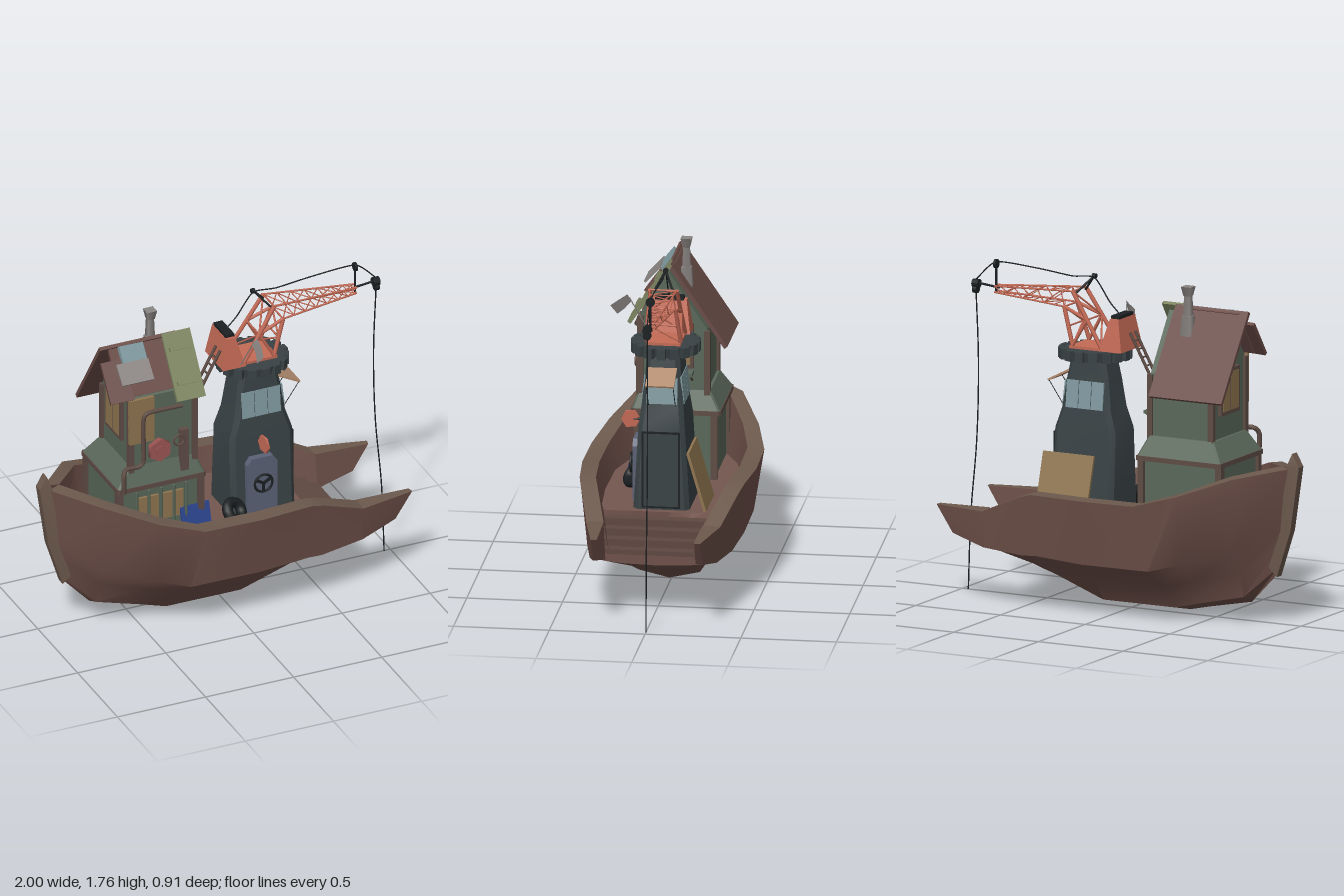
import * as THREE from 'three';
import { toCreasedNormals } from 'three/addons/utils/BufferGeometryUtils.js';

const C = { hull: 0x6e5049, rim: 0x6c594d, deck: 0x745650, step: 0x5e4740, roof: 0x6a4c47, green: 0x5a685a, olive: 0x7c8560, post: 0x5f4c45,
  tower: 0x394245, dark: 0x1c2022, orange: 0xc46a55, glass: 0x7f999f, tan: 0x8f7550, blue: 0x2c4690, slate: 0x5a6275, grey: 0x8a8583 };
const V = (p) => new THREE.Vector3(...p);

function add(parent, name, geo, color, pos = [0, 0, 0], rot = [0, 0, 0]) {
  const mesh = new THREE.Mesh(geo, new THREE.MeshStandardMaterial({ color, side: THREE.DoubleSide }));
  mesh.name = name;
  mesh.position.set(...pos);
  mesh.rotation.set(...rot);
  parent.add(mesh);
  return mesh;
}
const box = (p, name, w, h, d, color, pos, rot) => add(p, name, new THREE.BoxGeometry(w, h, d), color, pos, rot);

// Surface through rows of points; closed rings get end caps
function loft(rows, closed = true, crease = 0.4) {
  const pos = [], n = rows[0].length;
  const tri = (a, b, c) => pos.push(...a, ...b, ...c);
  for (let i = 0; i < rows.length - 1; i++)
    for (let j = 0; j < (closed ? n : n - 1); j++) {
      const k = (j + 1) % n, r = rows[i], s = rows[i + 1];
      tri(r[j], r[k], s[j]);
      tri(r[k], s[k], s[j]);
    }
  if (closed) for (let j = 1; j < n - 1; j++) {
    const e = rows[rows.length - 1];
    tri(rows[0][0], rows[0][j + 1], rows[0][j]);
    tri(e[0], e[j], e[j + 1]);
  }
  const g = new THREE.BufferGeometry();
  g.setAttribute('position', new THREE.Float32BufferAttribute(pos, 3));
  return toCreasedNormals(g, crease);
}
// Round bar between two points
function bar(p, name, a, b, r, color) {
  const A = V(a), d = V(b).sub(A);
  const m = add(p, name, new THREE.CylinderGeometry(r, r, d.length(), 6), color);
  m.position.copy(A).addScaledVector(d, 0.5);
  m.quaternion.setFromUnitVectors(new THREE.Vector3(0, 1, 0), d.normalize());
}
const tube = (p, name, pts, r, color, tension = 0.3) =>
  add(p, name, new THREE.TubeGeometry(new THREE.CatmullRomCurve3(pts.map(V), false, 'catmullrom', tension), 40, r, 6), color);
// Sloping slab from x0 to x1, between two [z, y] edges
function slab(p, name, x0, x1, a, b, t, color) {
  const dz = b[0] - a[0], dy = b[1] - a[1];
  return box(p, name, x1 - x0, t, Math.hypot(dz, dy), color,
    [(x0 + x1) / 2, (a[1] + b[1]) / 2, (a[0] + b[0]) / 2], [Math.atan2(-dy, dz), 0, 0]);
}
// Rectangle with cut corners at height y
const ring = (cx, cz, y, hx, hz, c) => [[hx, hz - c], [hx - c, hz], [c - hx, hz], [-hx, hz - c], [-hx, c - hz], [c - hx, -hz], [hx - c, -hz], [hx, c - hz]]
  .map(([x, z]) => [cx + x, y, cz + z]);

function buildHull(g) {
  // top x, bottom x, rim z, rim y, keel y, inner x, inner z, inner foot y, z and y fractions of the chines
  const mid = [[0.86, 0.53, 0.35], [0.43, 0.26, 0.06]];
  const S = [
    [-0.95, -0.86, 0.03, 0.83, 0.26, -0.88, 0.0, 0.49, mid], [-0.74, -0.71, 0.27, 0.795, 0.1, -0.7, 0.205, 0.49, mid],
    [-0.48, -0.46, 0.39, 0.7, 0.05, -0.46, 0.31, 0.49, mid], [-0.25, -0.35, 0.45, 0.637, 0.025, -0.26, 0.36, 0.49, mid],
    [0.08, 0.08, 0.455, 0.635, 0.025, 0.08, 0.365, 0.49, mid],
    [0.36, 0.36, 0.43, 0.635, 0.15, 0.36, 0.345, 0.49, [[0.9, 0.58, 0.38], [0.32, 0.15, 0.04]]],
    [0.44, 0.44, 0.412, 0.61, 0.182, 0.44, 0.325, 0.49, [[0.92, 0.62, 0.4], [0.27, 0.12, 0.03]]],
    [0.69, 0.69, 0.35, 0.5, 0.278, 0.69, 0.26, 0.33, [[0.95, 0.72, 0.45], [0.13, 0.06, 0.02]]]];
  const outer = S.map(([xt, xb, z, y, k, , , , f]) => {
    const half = [[z, 1], ...[0, 1, 2].map((i) => [z * f[0][i], f[1][i]])];
    const at = ([zz, t]) => [xb + (xt - xb) * t, k + (y - k) * t, zz];
    return [...half.map(at), at([0, 0]), ...half.reverse().map(([zz, t]) => at([-zz, t]))];
  });
  add(g, 'hull', loft(outer, false, 0.75), C.hull);
  // Stern wall under the lowest step
  const edge = outer[outer.length - 1].slice(1, -1).map((p) => new THREE.Vector2(-p[2], p[1]));
  edge.push(new THREE.Vector2(0.335, 0.33), new THREE.Vector2(-0.335, 0.33));
  add(g, 'transom', new THREE.ShapeGeometry(new THREE.Shape(edge)), C.hull, [0.69, 0, 0], [0, Math.PI / 2, 0]);
  for (const s of [1, -1]) {
    add(g, 'rim', loft(S.map(([x, , z, y, , ix, iz]) => [[x, y, s * z], [ix, y + 0.003, s * iz]]), false), C.rim);
    add(g, 'bulwark', loft(S.map(([, , , y, , ix, iz, f]) => [[ix, y + 0.003, s * iz], [ix + 0.02 * (ix < -0.5), f, s * Math.max(0, iz - 0.03)]]), false), C.hull);
    // Stern arms reaching past the steps
    add(g, 'sternArm', loft([
      [[0.69, 0.5, s * 0.35], [0.69, 0.306, s * 0.333], [0.69, 0.298, s * 0.25], [0.69, 0.503, s * 0.26]],
      [[0.995, 0.497, s * 0.285], [0.9, 0.355, s * 0.285], [0.9, 0.36, s * 0.25], [0.99, 0.497, s * 0.255]]]), C.hull);
    add(g, 'sternRim', loft([[[0.69, 0.501, s * 0.352], [0.69, 0.505, s * 0.257]], [[0.995, 0.499, s * 0.286], [0.99, 0.499, s * 0.253]]], false), C.rim);
  }
  add(g, 'deck', loft(S.slice(0, 7).map(([, , , , , ix, iz]) => {
    const z = Math.max(0, iz - 0.02);
    return [[ix, 0.49, z], [ix, 0.49, -z]];
  }), false), C.deck);
  for (let i = 0; i < 4; i++)
    box(g, 'sternStep', 0.063, 0.045, 0.6 - i * 0.03, C.step, [0.47 + i * 0.062, 0.442 - i * 0.037, 0]);
  // Stem post
  add(g, 'stemPost', loft([[[-0.87, 0.25], [-0.83, 0.3]], [[-0.95, 0.5], [-0.9, 0.5]], [[-1, 0.84], [-0.93, 0.82]], [[-0.96, 0.91], [-0.94, 0.85]]]
    .map(([[a, y], [b, v]]) => [[a, y, 0.025], [b, v, 0.042], [b, v, -0.042], [a, y, -0.025]])), C.rim);
}

function buildHouse(g) {
  box(g, 'lowerHouse', 0.46, 0.36, 0.4, C.green, [-0.4, 0.67, 0]);
  for (const x of [-0.63, -0.17]) for (const z of [-0.2, 0.2]) box(g, 'lowerPost', 0.035, 0.36, 0.035, C.post, [x, 0.67, z]);
  add(g, 'skirtTrim', loft([ring(-0.4, 0, 0.835, 0.25, 0.235, 0.01), ring(-0.4, 0, 0.86, 0.25, 0.235, 0.01)]), C.post);
  add(g, 'skirtRoof', loft([ring(-0.4, 0, 0.86, 0.245, 0.23, 0.01), ring(-0.385, 0.01, 0.96, 0.19, 0.185, 0.01)]), C.green);
  // Gabled upper storey
  const gable = [[-0.16, 0.93], [0.19, 0.93], [0.19, 1.36], [0.04, 1.585], [-0.16, 1.285]];
  add(g, 'upperHouse', loft([-0.56, -0.2].map((x) => gable.map(([z, y]) => [x, y, z]))), C.green);
  for (const x of [-0.56, -0.2]) for (const [z, top] of [[-0.16, 1.28], [0.19, 1.35]])
    box(g, 'upperPost', 0.03, top - 0.93, 0.03, C.post, [x, (top + 0.93) / 2, z]);
  slab(g, 'backRoof', -0.67, -0.24, [-0.25, 1.18], [0.045, 1.615], 0.02, C.roof);
  slab(g, 'frontRoof', -0.62, -0.3, [0.03, 1.61], [0.19, 1.375], 0.02, C.roof);
  slab(g, 'roofPatch', -0.68, -0.55, [0.08, 1.55], [0.21, 1.37], 0.02, C.roof).rotation.z = 0.06;
  slab(g, 'oliveRoof', -0.32, -0.16, [0.04, 1.62], [0.245, 1.32], 0.02, C.olive);
  for (const t of [0.25, 0.75]) box(g, 'roofBatten', 0.12, 0.015, 0.02, C.olive, [-0.24, 1.63 - 0.3 * t, 0.055 + 0.205 * t], [0.97, 0, 0]);
  slab(g, 'skylight', -0.57, -0.43, [0.05, 1.605], [0.11, 1.53], 0.025, C.glass).rotation.z = -0.1;
  slab(g, 'roofSheet', -0.61, -0.43, [0.12, 1.545], [0.2, 1.46], 0.012, C.grey);
  // Chimney
  for (const [top, bottom, h, y] of [[0.04, 0.026, 0.05, 1.71], [0.022, 0.03, 0.16, 1.62], [0.036, 0.048, 0.14, 1.51]])
    add(g, 'chimney', new THREE.CylinderGeometry(top, bottom, h, 4), C.grey, [-0.35, y, -0.03], [0, Math.PI / 4, 0]);
  // Shutters, hatches and windows
  box(g, 'frontShutter', 0.14, 0.26, 0.02, C.tan, [-0.505, 1.235, 0.205]);
  for (const x of [-0.47, -0.33]) box(g, 'lowerHatch', 0.12, 0.15, 0.02, C.tan, [x, 0.7, 0.205]);
  for (const s of [-1, 1]) {
    const x = s < 0 ? -0.57 : -0.19;
    box(g, 'gableFrame', 0.02, 0.24, 0.2, C.post, [x, 1.2, 0.01]);
    for (const z of [-0.035, 0.055]) box(g, 'gableShutter', 0.026, 0.2, 0.075, C.tan, [x, 1.2, z]);
  }
  // Arched side door with a pane, left ajar
  const arch = new THREE.Shape().moveTo(-0.06, 0).lineTo(0.06, 0).lineTo(0.06, 0.25).absarc(0, 0.25, 0.06, 0, Math.PI).lineTo(-0.06, 0);
  add(g, 'sideDoor', new THREE.ExtrudeGeometry(arch, { depth: 0.015, bevelEnabled: false, curveSegments: 8 }), C.slate, [-0.155, 0.51, 0.11], [0, 1.1, 0]);
  add(g, 'doorPane', new THREE.CylinderGeometry(0.045, 0.045, 0.03, 12), C.glass, [-0.148, 0.75, 0.113], [Math.PI / 2, 0, -1.1]);
  slab(g, 'blueSheet', -0.29, -0.12, [0.25, 0.5], [0.205, 0.665], 0.015, C.blue).rotation.z = 0.12;
  // Pipes, valve and hand wheel
  tube(g, 'frontPipe', [[-0.62, 0.84, 0.24], [-0.62, 0.94, 0.24], [-0.6, 0.97, 0.22], [-0.53, 0.97, 0.22], [-0.5, 1.0, 0.22], [-0.5, 1.24, 0.22], [-0.47, 1.28, 0.22], [-0.28, 1.28, 0.22]], 0.013, C.post);
  for (let i = 0; i < 5; i++) bar(g, 'lowerPipe', [-0.54 + i * 0.07, 0.55, 0.225], [-0.54 + i * 0.07, 0.82, 0.225], 0.008, C.green);
  box(g, 'drainPipe', 0.045, 0.28, 0.03, C.post, [-0.265, 0.99, 0.205]);
  add(g, 'hexValve', new THREE.CylinderGeometry(0.065, 0.065, 0.03, 6), 0x9c5654, [-0.405, 1.04, 0.21], [Math.PI / 2, 0, 0]);
  add(g, 'valveHub', new THREE.CylinderGeometry(0.03, 0.03, 0.04, 6), 0x9c5654, [-0.405, 1.04, 0.21], [Math.PI / 2, 0, 0]);
  add(g, 'handWheel', new THREE.TorusGeometry(0.03, 0.006, 6, 14), C.post, [-0.3, 1.08, 0.225]);
  // Balcony and ladder to the crane
  box(g, 'balcony', 0.13, 0.018, 0.1, C.green, [-0.185, 1.06, -0.04]);
  for (const z of [-0.08, 0]) bar(g, 'balconyBrace', [-0.22, 1.0, z], [-0.13, 1.055, z], 0.007, C.post);
  for (const z of [0.0, 0.055]) bar(g, 'ladderRail', [-0.22, 1.03, z], [0.01, 1.45, z], 0.008, C.post);
  for (let i = 1; i < 10; i++) bar(g, 'ladderRung', [-0.22 + i * 0.023, 1.03 + i * 0.042, 0], [-0.22 + i * 0.023, 1.03 + i * 0.042, 0.055], 0.005, C.post);
}

function buildTower(g) {
  const cx = 0.22;
  add(g, 'tower', loft([[0.49, 0.18, 0.147], [0.93, 0.178, 0.121], [1.04, 0.143, 0.109], [1.2, 0.122, 0.093], [1.31, 0.1, 0.085]]
    .map(([y, hx, hz]) => ring(cx, 0, y, hx, hz, 0.024))), C.tower);
  add(g, 'crown', new THREE.CylinderGeometry(0.172, 0.16, 0.05, 16), C.tower, [cx - 0.005, 1.328, 0]);
  for (let i = 0; i < 16; i++) {
    const a = (i / 16) * Math.PI * 2;
    box(g, 'crownTooth', 0.03, 0.055, 0.046, C.tower, [cx - 0.005 + 0.178 * Math.cos(a), 1.328, 0.165 * Math.sin(a)], [0, -a, 0]);
  }
  // Windows: three panes on the front and back, one toward the stern
  for (const s of [1, -1]) for (let i = 0; i < 3; i++)
    slab(g, 'towerWindow', cx - 0.109 + i * 0.074, cx - 0.039 + i * 0.074, [s * 0.109, 1.045], [s * 0.094, 1.19], 0.008, C.glass);
  const side = new THREE.Group();
  side.name = 'sternFace';
  side.rotation.y = Math.PI / 2;
  g.add(side);
  slab(side, 'sternWindow', -0.08, 0.08, [cx + 0.143, 1.05], [cx + 0.126, 1.185], 0.008, C.glass);
  slab(side, 'sternPanel', -0.1, 0.1, [cx + 0.181, 0.5], [cx + 0.18, 0.91], 0.012, C.dark);
  slab(side, 'sternInset', -0.09, 0.09, [cx + 0.184, 0.51], [cx + 0.183, 0.9], 0.012, C.tower);
  slab(side, 'awning', -0.075, 0.075, [cx + 0.11, 1.235], [cx + 0.235, 1.17], 0.01, 0xb48d70);
  for (const z of [-0.07, 0.07]) bar(g, 'awningStay', [0.45, 1.17, z], [0.36, 1.04, z], 0.002, C.dark);
  // Front door with wheel
  const door = new THREE.Shape([[-0.085, 0], [0.085, 0], [0.085, 0.29], [0.06, 0.325], [-0.06, 0.325], [-0.085, 0.29]].map((p) => new THREE.Vector2(...p)));
  add(g, 'doorFrame', new THREE.ExtrudeGeometry(door, { depth: 0.045, bevelEnabled: false }), C.slate, [0.2, 0.5, 0.12]);
  add(g, 'doorWheel', new THREE.TorusGeometry(0.05, 0.007, 6, 18), C.dark, [0.2, 0.68, 0.18]);
  for (let i = 0; i < 3; i++) box(g, 'wheelSpoke', 0.05, 0.014, 0.01, C.dark, [0.2 + 0.025 * Math.cos(i * 2.094 + 0.52), 0.68 + 0.025 * Math.sin(i * 2.094 + 0.52), 0.18], [0, 0, i * 2.094 + 0.52]);
  add(g, 'hexSign', new THREE.CylinderGeometry(0.05, 0.05, 0.012, 6), C.orange, [0.2, 0.915, 0.185], [0, 0.15, Math.PI / 2]);
  bar(g, 'signArm', [0.2, 0.915, 0.1], [0.2, 0.915, 0.17], 0.006, C.dark);
  add(g, 'tire', new THREE.TorusGeometry(0.048, 0.028, 8, 18), C.dark, [0.03, 0.56, 0.19], [-0.7, 0.4, 0]);
  slab(g, 'leaningBoard', 0.14, 0.44, [-0.235, 0.5], [-0.145, 0.81], 0.015, C.tan);
}

function buildCrane(g) {
  // Counterweight cab
  add(g, 'cab', loft([[[0, 1.36, 0.115], [0.13, 1.36, 0.115], [0.13, 1.36, -0.115], [0, 1.36, -0.115]],
    [[0.03, 1.53, 0.09], [0.08, 1.53, 0.09], [0.08, 1.53, -0.09], [0.03, 1.53, -0.09]]]), C.orange);
  box(g, 'cabCap', 0.05, 0.022, 0.15, C.dark, [0.056, 1.535, 0]);
  box(g, 'turntable', 0.28, 0.015, 0.18, C.orange, [0.18, 1.36, 0]);
  // Lattice boom: four chords through base, knee and tip, with side braces
  const frames = [[0.13, 1.37, 0.3, 1.37, 0.09], [0.31, 1.65, 0.36, 1.565, 0.07], [0.8, 1.62, 0.8, 1.588, 0.02]];
  const corner = (t, s, lower) => {
    const i = Math.min(1, Math.floor(t)), a = frames[i], b = frames[i + 1], m = (k) => a[k] + (b[k] - a[k]) * (t - i);
    return lower ? [m(2), m(3), s * m(4)] : [m(0), m(1), s * m(4)];
  };
  const steps = [0, 0.5, 1, 1.15, 1.3, 1.45, 1.6, 1.75, 1.88, 2];
  steps.slice(0, -1).forEach((a, i) => {
    const b = steps[i + 1], r = a < 1 ? 0.011 : 0.005, thin = a < 1 ? 0.005 : 0.003;
    for (const s of [1, -1]) {
      for (const low of [true, false]) bar(g, 'boomChord', corner(a, s, low), corner(b, s, low), r, C.orange);
      bar(g, 'boomBrace', corner(a, s, i % 2 === 0), corner(b, s, i % 2 !== 0), a < 1 ? 0.009 : thin, C.orange);
    }
    for (const low of [true, false]) {
      const s = i % 2 ? 1 : -1;
      bar(g, 'boomCross', corner(a, s, low), corner(b, -s, low), thin, C.orange);
      bar(g, 'boomTie', corner(b, 1, low), corner(b, -1, low), thin, C.orange);
    }
  });
  // Masts, pulleys and cables
  for (const s of [1, -1]) bar(g, 'kneeMast', [0.3, 1.64, s * 0.05], [0.22, 1.73, 0], 0.006, C.dark);
  bar(g, 'tipMast', [0.8, 1.58, 0], [0.8, 1.75, 0], 0.006, C.dark);
  bar(g, 'tipRod', [0.78, 1.61, 0], [0.92, 1.625, 0], 0.006, C.dark);
  for (const [x, y, r, h] of [[0.22, 1.728, 0.014, 0.02], [0.8, 1.735, 0.024, 0.014], [0.917, 1.62, 0.024, 0.036], [0.92, 1.59, 0.022, 0.024]])
    add(g, 'pulley', new THREE.CylinderGeometry(r, r, h, 12), C.dark, [x, y, 0], [0, 0, Math.PI / 2]);
  tube(g, 'stayCable', [[0.07, 1.54, 0], [0.13, 1.6, 0], [0.22, 1.72, 0], [0.35, 1.715, 0], [0.55, 1.735, 0], [0.8, 1.745, 0], [0.92, 1.64, 0]], 0.0035, C.dark);
  tube(g, 'hoistCable', [[0.92, 1.6, 0], [0.905, 1.2, 0], [0.915, 0.8, 0], [0.95, 0.4, 0], [0.965, 0, 0]], 0.0035, C.dark, 0.5);
  // Flag
  bar(g, 'flagPole', [0.1, 1.37, 0.11], [0.14, 1.55, 0.2], 0.003, C.grey);
  add(g, 'flag', loft([[[0.15, 1.57, 0.21], [0.13, 1.53, 0.19]], [[0.155, 1.54, 0.255], [0.135, 1.49, 0.225]], [[0.145, 1.505, 0.3], [0.125, 1.455, 0.265]]], false), C.grey);
}

export function createModel() {
  const model = new THREE.Group();
  model.name = 'craneBoat';
  const parts = { boat: buildHull, deckHouse: buildHouse, craneTower: buildTower, crane: buildCrane };
  for (const [name, build] of Object.entries(parts)) {
    const g = new THREE.Group();
    g.name = name;
    build(g);
    model.add(g);
  }
  return model;
}
